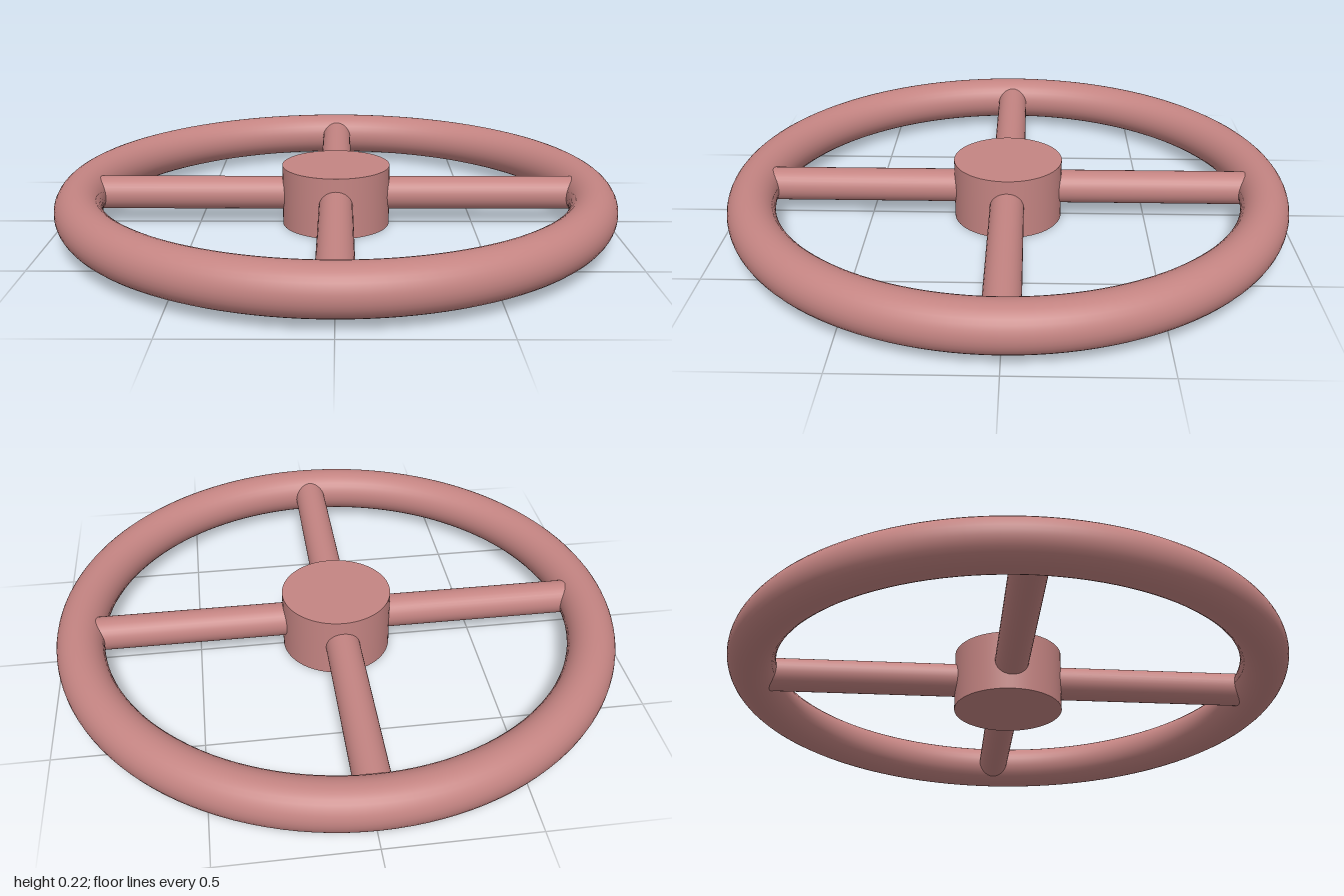
import * as THREE from 'three';

export function createModel() {
  const group = new THREE.Group();
  group.name = 'handwheel';
  const paint = new THREE.MeshStandardMaterial({ color: 0xc48482 });
  paint.name = 'dusty red paint';

  const hubRadius = 0.195, hubHeight = 0.22;
  const tubeRadius = 0.083, rimRadius = 1 - tubeRadius;
  const spokeRadius = 0.06, midY = 0.113;

  const add = (name, geometry) => {
    const mesh = new THREE.Mesh(geometry, paint);
    mesh.name = name;
    group.add(mesh);
    return mesh;
  };

  // Round rim lying flat
  const rim = add('rim', new THREE.TorusGeometry(rimRadius, tubeRadius, 32, 128));
  rim.rotation.x = Math.PI / 2;
  rim.position.y = midY;

  // Solid hub, slightly taller than the rim
  const hub = add('hub', new THREE.CylinderGeometry(hubRadius, hubRadius, hubHeight, 64));
  hub.position.y = hubHeight / 2;

  // Four spokes, their ends buried in the hub and the rim
  const inner = 0.12, outer = rimRadius;
  const spokeGeometry = new THREE.CylinderGeometry(spokeRadius, spokeRadius, outer - inner, 32, 1, true);
  spokeGeometry.rotateZ(-Math.PI / 2);
  spokeGeometry.translate((inner + outer) / 2, 0, 0);
  for (let i = 0; i < 4; i++) {
    const spoke = add('spoke' + (i + 1), spokeGeometry);
    spoke.position.y = midY;
    spoke.rotation.y = i * Math.PI / 2;
  }

  return group;
}
